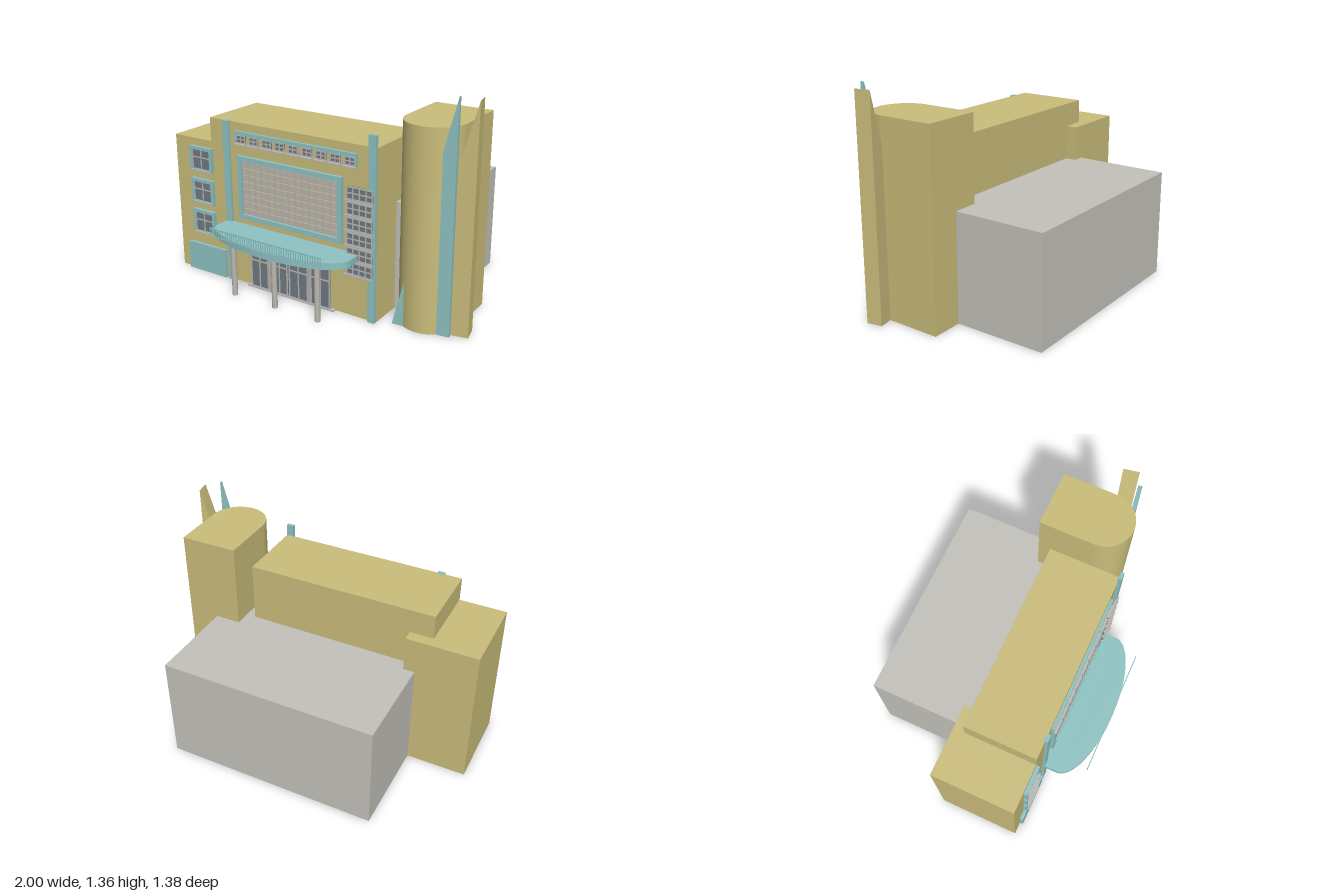
import * as THREE from 'three';
import { toCreasedNormals } from 'three/addons/utils/BufferGeometryUtils.js';

const material = (name, color) => {
  const m = new THREE.MeshStandardMaterial({ color });
  m.name = name;
  return m;
};

export function createModel() {
  const tan = material('tan plaster', 0xcabd7b);
  const teal = material('teal trim', 0x8fc3c4);
  const gray = material('gray wall', 0xc3c2bb);
  const trim = material('pale gray trim', 0xbdb8b2);
  const glass = material('dark glass', 0x6f7b83);

  const model = new THREE.Group();
  model.name = 'cinemaBuilding';
  const WALL = 0.415; // z of the facade

  const group = (name) => {
    const g = new THREE.Group();
    g.name = name;
    model.add(g);
    return g;
  };
  const add = (parent, name, geometry, mat) => {
    const m = new THREE.Mesh(geometry, mat);
    m.name = name;
    parent.add(m);
    return m;
  };
  // Box given by its limits
  const box = (parent, name, mat, x0, x1, y0, y1, z0, z1) =>
    add(parent, name, new THREE.BoxGeometry(x1 - x0, y1 - y0, z1 - z0), mat)
      .position.set((x0 + x1) / 2, (y0 + y1) / 2, (z0 + z1) / 2);
  // Plan outline (drawn with y = -z) raised from y0 by height
  const raisePlan = (name, mat, shape, y0, height) => {
    const g = new THREE.ExtrudeGeometry(shape, { depth: height, bevelEnabled: false, curveSegments: 48 });
    g.rotateX(-Math.PI / 2);
    add(model, name, toCreasedNormals(g, 0.5), mat).position.y = y0;
  };
  // Picture frame of four bars around an opening
  const frame = (parent, name, mat, x0, x1, y0, y1, w, z0, z1) => {
    box(parent, name, mat, x0, x0 + w, y0, y1, z0, z1);
    box(parent, name, mat, x1 - w, x1, y0, y1, z0, z1);
    box(parent, name, mat, x0 + w, x1 - w, y0, y0 + w, z0, z1);
    box(parent, name, mat, x0 + w, x1 - w, y1 - w, y1, z0, z1);
  };
  // Glazed opening with a pale frame and bars at the given fractions
  const glazing = (parent, x0, x1, y0, y1, bar, z, columns, rows) => {
    box(parent, 'pane', glass, x0, x1, y0, y1, z - 0.008, z);
    frame(parent, 'windowFrame', trim, x0, x1, y0, y1, bar, z - 0.008, z + 0.005);
    for (const f of columns) {
      const x = x0 + f * (x1 - x0);
      box(parent, 'mullion', trim, x - bar / 2, x + bar / 2, y0, y1, z - 0.004, z + 0.004);
    }
    for (const f of rows) {
      const y = y0 + f * (y1 - y0);
      box(parent, 'transom', trim, x0, x1, y - bar / 2, y + bar / 2, z - 0.004, z + 0.0035);
    }
  };

  // Main masses
  box(model, 'mainBlock', tan, -0.705, 0.48, 0, 1.04, -0.03, WALL);
  box(model, 'sideBlock', tan, -1, -0.56, 0, 0.89, -0.1, WALL - 0.001);
  box(model, 'rearHall', gray, -0.63, 0.7, 0, 0.67, -0.695, 0.2);

  // Tower with a round front
  const tower = new THREE.Shape();
  tower.moveTo(0.54, 0.13);
  tower.lineTo(0.54, -0.21);
  tower.absarc(0.7175, -0.21, 0.1775, Math.PI, 2 * Math.PI, false);
  tower.lineTo(0.895, 0.13);
  raisePlan('tower', tan, tower, 0, 1.19);

  // Triangular blades cutting through the tower
  const blade = (name, mat, width, height, depth, x, z, turn) => {
    const s = new THREE.Shape();
    s.moveTo(-width, 0);
    s.lineTo(0, 0);
    s.lineTo(0, height);
    const g = new THREE.ExtrudeGeometry(s, { depth, bevelEnabled: false });
    g.translate(0, 0, -depth / 2);
    const m = add(model, name, g, mat);
    m.position.set(x, 0, z);
    m.rotation.y = turn;
  };
  blade('tealBlade', teal, 0.345, 1.36, 0.025, 0.904, 0.328, 0.09);
  blade('tanBlade', tan, 0.372, 1.34, 0.096, 0.989, 0.243, 0.19);

  // Teal pilasters and low plinth
  box(model, 'leftPilaster', teal, -0.595, -0.55, 0, 1.043, WALL - 0.01, 0.432);
  box(model, 'rightPilaster', teal, 0.435, 0.481, 0, 1.113, WALL - 0.002, 0.435);
  box(model, 'plinth', teal, -0.925, -0.62, 0, 0.187, WALL - 0.01, 0.435);

  // Canopy with half-elliptical front
  const canopy = new THREE.Shape();
  canopy.moveTo(-0.595, -0.41);
  canopy.lineTo(-0.595, -0.51);
  canopy.absellipse(-0.1125, -0.51, 0.4825, 0.18, Math.PI, 2 * Math.PI, false);
  canopy.lineTo(0.37, -0.41);
  raisePlan('canopy', teal, canopy, 0.357, 0.042);

  const columns = group('canopyColumns');
  for (const x of [-0.42, -0.114, 0.192]) {
    add(columns, 'column', new THREE.CylinderGeometry(0.017, 0.017, 0.358, 24), trim)
      .position.set(x, 0.179, 0.581);
  }

  // Railing on the canopy
  const railing = group('canopyRailing');
  box(railing, 'topRail', teal, -0.51, 0.285, 0.447, 0.455, 0.676, 0.682);
  box(railing, 'bottomRail', teal, -0.51, 0.285, 0.399, 0.404, 0.676, 0.682);
  for (let i = 0; i <= 48; i++) {
    const x = -0.508 + i * (0.791 / 48);
    box(railing, 'baluster', teal, x - 0.002, x + 0.002, 0.4, 0.45, 0.677, 0.681);
  }

  // Entrance doors, each a pair of leaves
  const doors = group('entranceDoors');
  for (const [x0, x1] of [[-0.405, -0.27], [-0.25, -0.125], [-0.115, 0.025], [0.043, 0.182]]) {
    glazing(doors, x0, x1, 0.005, 0.296, 0.008, 0.436, [0.5], [0.62]);
  }
  for (const x of [-0.26, 0.034]) box(doors, 'doorPost', trim, x - 0.003, x + 0.003, 0, 0.296, WALL, 0.44);
  box(doors, 'threshold', trim, -0.435, 0.21, 0, 0.008, WALL, 0.445);

  // Large tiled screen in a teal frame
  const screen = group('tiledScreen');
  frame(screen, 'screenFrame', teal, -0.486, 0.262, 0.44, 0.84, 0.03, WALL - 0.002, 0.438);
  box(screen, 'screenBack', tan, -0.458, 0.234, 0.46, 0.812, WALL - 0.002, 0.422);
  const cols = 14, rows = 8, cw = 0.688 / cols, rh = 0.338 / rows;
  for (let c = 0; c < cols; c++) {
    for (let r = 0; r < rows; r++) {
      const x = -0.456 + (c + 0.5) * cw, y = 0.471 + (r + 0.5) * rh;
      box(screen, 'tile', trim, x - 0.0205, x + 0.0205, y - 0.0175, y + 0.0175, 0.42, 0.43);
    }
  }

  // Upper row of small windows under a teal band
  const upper = group('upperWindows');
  box(upper, 'band', teal, -0.505, 0.355, 0.969, 0.99, WALL - 0.002, 0.432);
  for (let i = 0; i < 9; i++) {
    const x = -0.46 + i * 0.0963;
    glazing(upper, x - 0.034, x + 0.034, 0.915, 0.967, 0.006, 0.424, [0.5], [0.5]);
    box(upper, 'sill', trim, x - 0.043, x + 0.043, 0.907, 0.915, WALL, 0.446);
  }
  for (const x of [-0.5, 0.35]) box(upper, 'bandEnd', teal, x - 0.005, x + 0.005, 0.91, 0.97, WALL - 0.002, 0.43);

  // Windows of the side block
  const side = group('sideWindows');
  for (const y of [0.68, 0.47, 0.262]) {
    frame(side, 'surround', teal, -0.872, -0.695, y, y + 0.162, 0.018, WALL - 0.004, 0.436);
    glazing(side, -0.856, -0.711, y + 0.012, y + 0.147, 0.007, 0.428, [0.5], [0.6]);
    box(side, 'sill', trim, -0.862, -0.702, y + 0.006, y + 0.014, WALL, 0.446);
  }

  // Stacked windows crossing the right pilaster
  const stair = group('stairWindows');
  for (let i = 0; i < 6; i++) {
    const y = 0.272 + i * 0.0905;
    glazing(stair, 0.298, 0.468, y, y + 0.078, 0.007, 0.439, [0.25, 0.5, 0.75], [0.5]);
    box(stair, 'sill', trim, 0.284, 0.472, y - 0.009, y - 0.001, WALL, 0.447);
  }

  return model;
}
